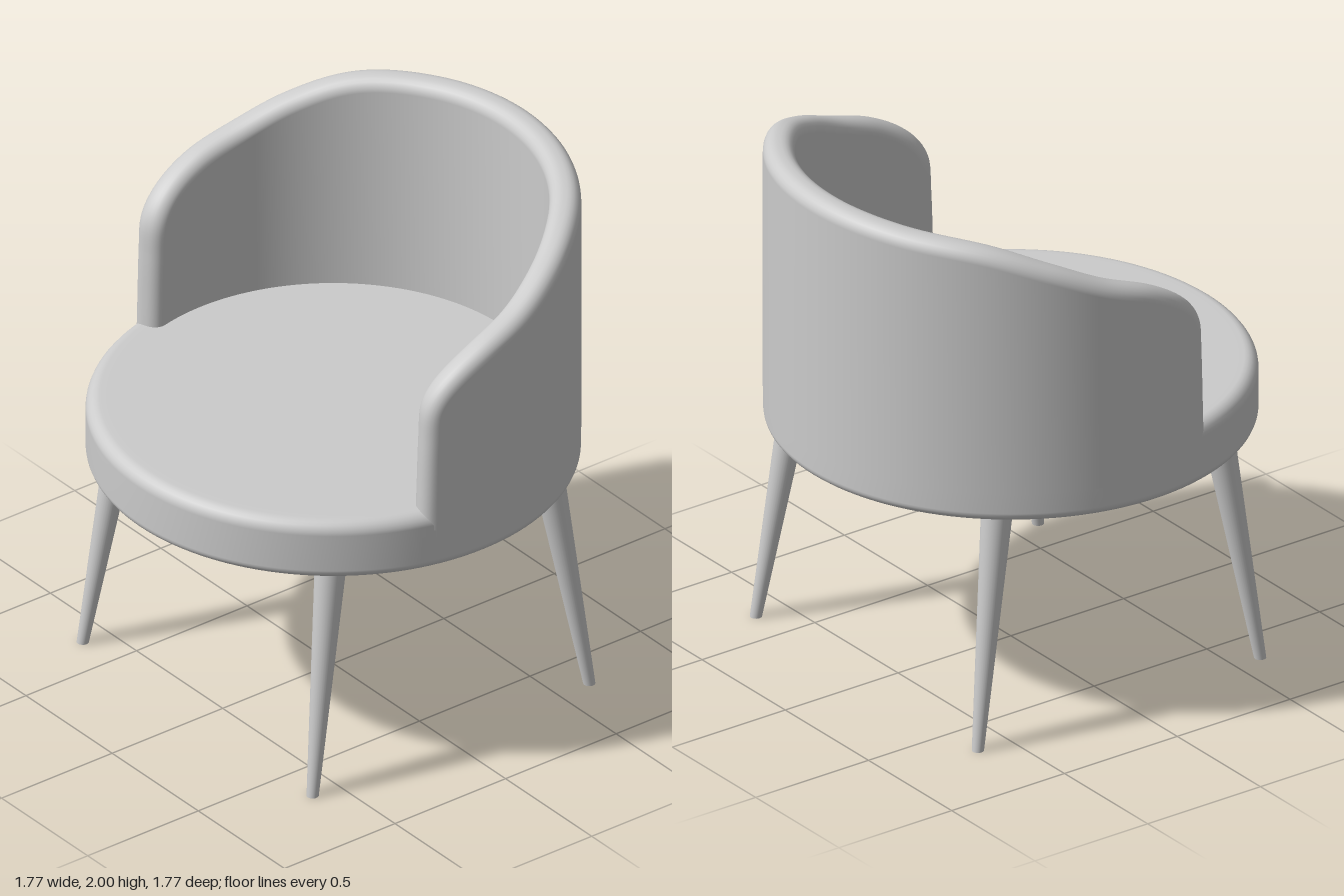
import * as THREE from 'three';

const R = 0.885;      // outer radius of the shell
const R_IN = 0.77;    // inner radius of the shell
const material = new THREE.MeshStandardMaterial({ color: 0xcccccc });

function part(name, geometry) {
  const mesh = new THREE.Mesh(geometry, material);
  mesh.name = name;
  return mesh;
}

// Round cushion with softly rolled edges
function seatGeometry() {
  const r = R - 0.001, bottom = 0.89, top = 1.12, pts = [];
  const corner = (y, fillet, from) => {
    for (let k = 0; k <= 6; k++) {
      const t = from + (k / 6) * Math.PI / 2;
      pts.push(new THREE.Vector2(r - fillet + fillet * Math.cos(t), y + fillet * Math.sin(t)));
    }
  };
  pts.push(new THREE.Vector2(0, bottom), new THREE.Vector2(r - 0.06, bottom));
  corner(bottom + 0.035, 0.035, -Math.PI / 2);
  corner(top - 0.05, 0.05, 0);
  pts.push(new THREE.Vector2(r - 0.08, top), new THREE.Vector2(0, top));
  return new THREE.LatheGeometry(pts, 128);
}

// Curved back and arms: a rounded section swept along the rim, bent round the seat
function shellGeometry() {
  // rim heights of one side as [z, y], front edge to the middle of the back
  const half = [[0.255, 1.05], [0.25, 1.2], [0.243, 1.4], [0.233, 1.53], [0.2, 1.595], [0.13, 1.66],
    [0, 1.73], [-0.2, 1.8], [-0.4, 1.885], [-0.6, 1.96], [-0.8, 1.99], [-R, 2]]
    .map(([z, y]) => new THREE.Vector3(R * Math.acos(z / R), y, 0));
  const mirrored = half.slice(0, -1).reverse().map(p => new THREE.Vector3(2 * Math.PI * R - p.x, p.y, 0));
  const rim = new THREE.CatmullRomCurve3([...half, ...mirrored]);

  const N = 200, ARC = 6, fillet = 0.05, base = 1.0;
  const positions = [], index = [];
  let rows = 0;
  for (let i = 0; i <= N; i++) {
    const p = rim.getPointAt(i / N), t = rim.getTangentAt(i / N);
    const section = [];   // [inset from rim, radius]
    for (let k = 0; k <= ARC; k++) {
      const a = (k / ARC) * Math.PI / 2;
      section.push([fillet * (1 - Math.sin(a)), R - fillet * (1 - Math.cos(a))]);
    }
    for (let k = ARC; k >= 0; k--) {
      const a = (k / ARC) * Math.PI / 2;
      section.push([fillet * (1 - Math.sin(a)), R_IN + fillet * (1 - Math.cos(a))]);
    }
    const add = (inset, radius, y) => {
      const angle = (p.x + t.y * inset) / R;
      positions.push(radius * Math.sin(angle), y ?? p.y - t.x * inset, radius * Math.cos(angle));
    };
    add(fillet, R, base);
    section.forEach(([inset, radius]) => add(inset, radius));
    add(fillet, R_IN, base);
    rows = section.length + 2;
  }
  for (let i = 0; i < N; i++) {
    for (let j = 0; j < rows - 1; j++) {
      const a = i * rows + j, b = a + rows;
      index.push(a, b, a + 1, b, b + 1, a + 1);
    }
  }
  const geometry = new THREE.BufferGeometry();
  geometry.setAttribute('position', new THREE.Float32BufferAttribute(positions, 3));
  geometry.setIndex(index);
  geometry.computeVertexNormals();
  return geometry;
}

// Tapered leg, sheared so that it splays yet stands flat on the floor
function legGeometry(top, foot) {
  const h = 0.9;
  const geometry = new THREE.CylinderGeometry(0.058, 0.022, h, 32);
  geometry.translate(0, h / 2, 0);
  const shear = new THREE.Matrix4().set(
    1, (top[0] - foot[0]) / h, 0, foot[0],
    0, 1, 0, 0,
    0, (top[1] - foot[1]) / h, 1, foot[1],
    0, 0, 0, 1);
  return geometry.applyMatrix4(shear);
}

export function createModel() {
  const chair = new THREE.Group();
  chair.name = 'tubChair';
  chair.add(part('seat', seatGeometry()), part('backrest', shellGeometry()));
  for (const side of [1, -1]) {
    const label = side > 0 ? 'Left' : 'Right';
    chair.add(
      part('front' + label + 'Leg', legGeometry([side * 0.6, 0.478], [side * 0.667, 0.613])),
      part('back' + label + 'Leg', legGeometry([side * 0.6, -0.503], [side * 0.667, -0.638])));
  }
  return chair;
}
